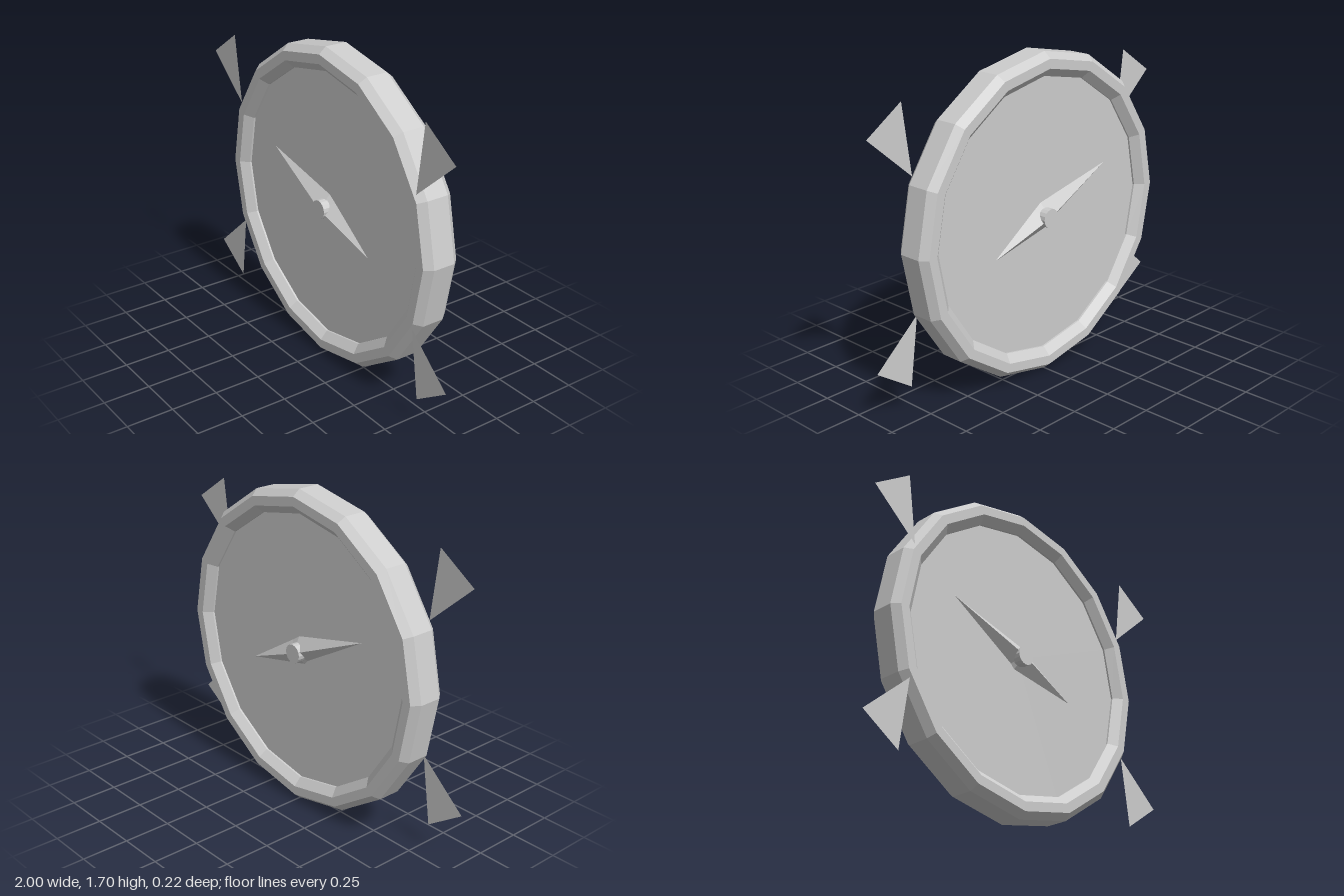
import * as THREE from 'three';

const CENTRE_Y = 0.85;
const SIDES = 16;

export function createModel() {
  const grey = new THREE.MeshStandardMaterial({ color: 0xcccccc, flatShading: true });
  const greySheet = new THREE.MeshStandardMaterial({ color: 0xcccccc, flatShading: true, side: THREE.DoubleSide });
  greySheet.name = 'greySheet';
  grey.name = 'grey';

  const model = new THREE.Group();
  model.name = 'compass';
  const add = (name, geometry, material = grey) => {
    const mesh = new THREE.Mesh(geometry, material);
    mesh.name = name;
    mesh.position.y = CENTRE_Y;
    model.add(mesh);
    return mesh;
  };

  // Bevelled ring, a closed profile turned around the z axis
  const profile = [
    [0.726, -0.06], [0.768, -0.1], [0.817, -0.1], [0.85, -0.06],
    [0.85, 0.06], [0.817, 0.1], [0.768, 0.1], [0.726, 0.06], [0.726, -0.06],
  ].map(([r, z]) => new THREE.Vector2(r, z));
  add('rim', new THREE.LatheGeometry(profile, SIDES).rotateX(Math.PI / 2));

  // Dial plate, recessed on both faces
  add('dial', new THREE.CylinderGeometry(0.74, 0.74, 0.1, SIDES).rotateX(Math.PI / 2));

  // Ridged needle and hub on each face
  const outline = [
    [-0.455, 0.19, 0.065], [-0.05, -0.04, 0.05], [-0.027, -0.064, 0.05],
    [0.358, -0.142, 0.065], [0.064, 0.043, 0.05], [0.016, 0.075, 0.05],
  ];
  for (const side of [1, -1]) {
    const label = side > 0 ? 'front' : 'back';
    const corners = [];
    outline.forEach((a, i) => {
      const b = outline[(i + 1) % outline.length];
      const face = side > 0 ? [a, b, [0, 0, 0.106]] : [b, a, [0, 0, 0.106]];
      face.forEach(([x, y, z]) => corners.push(x, y, z * side));
    });
    const needle = new THREE.BufferGeometry();
    needle.setAttribute('position', new THREE.Float32BufferAttribute(corners, 3));
    needle.computeVertexNormals();
    add(label + 'Needle', needle);

    const hub = new THREE.CylinderGeometry(0.05, 0.05, 0.06, SIDES);
    add(label + 'Hub', hub.rotateX(side * Math.PI / 2).translate(0, 0, side * 0.08));
  }

  // Four flat pointers around the rim
  for (const sx of [1, -1]) {
    for (const sy of [1, -1]) {
      const shape = new THREE.Shape([[0.74, 0.35], [1, 0.577], [0.79, 0.718]]
        .map(([x, y]) => new THREE.Vector2(x * sx, y * sy)));
      const pointer = new THREE.ShapeGeometry(shape).translate(0, 0, 0.09);
      add((sy > 0 ? 'upper' : 'lower') + (sx > 0 ? 'Left' : 'Right') + 'Pointer', pointer, greySheet);
    }
  }
  return model;
}
